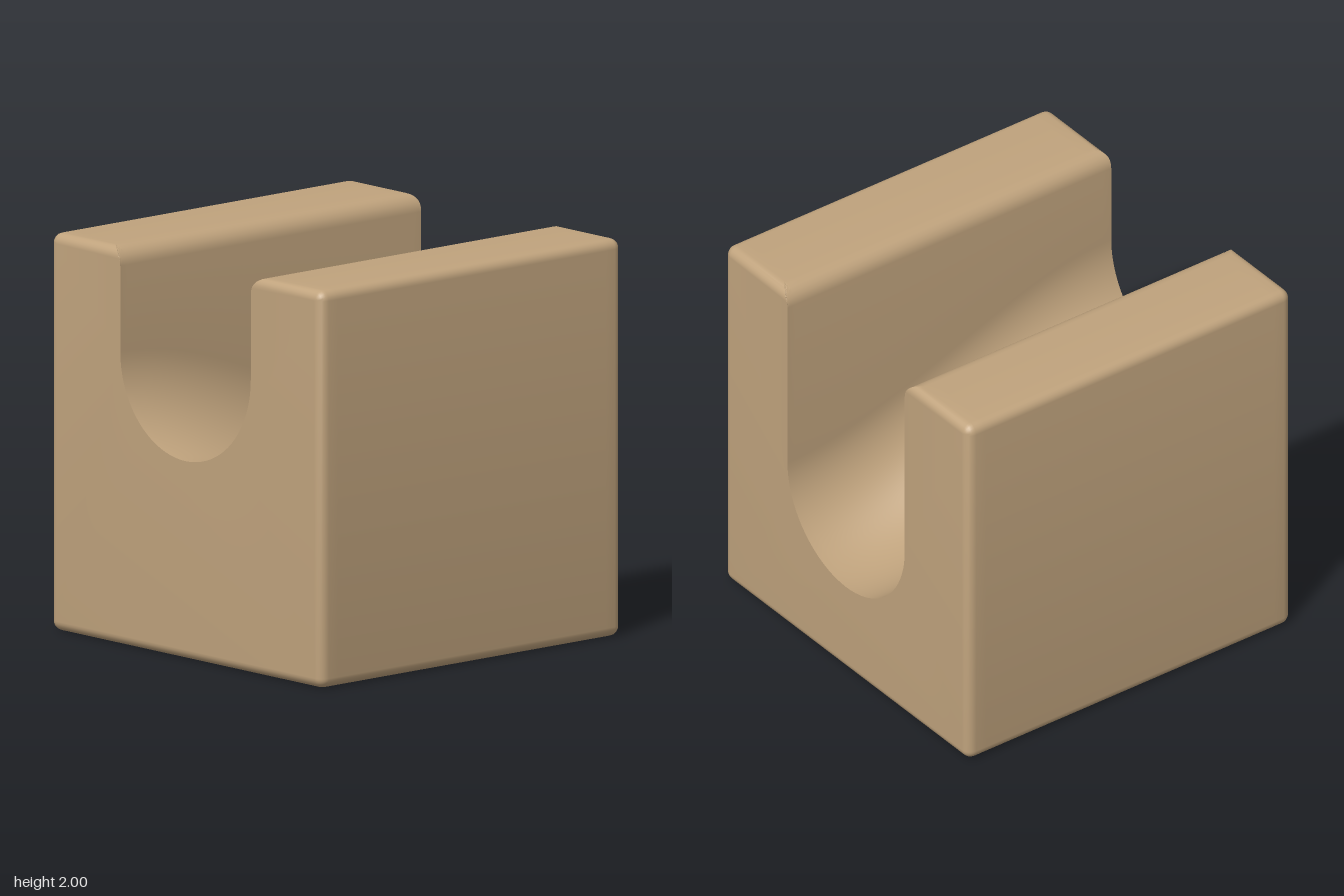
import * as THREE from 'three';
import { toCreasedNormals } from 'three/addons/utils/BufferGeometryUtils.js';

const EDGE = 0.05;   // outer edge rounding
const LIP = 0.09;    // rounding along the top of the channel
const HALF = 0.48;   // half width of the channel
const STEPS = 6;

// Channel floor height: an S-curve from 1.0 down to 0.5
const floorAt = (x) => 1 - 0.5 * THREE.MathUtils.smoothstep(x, -1, 1);

// U-shaped cross-section (u = -z), shrunk by inset near the two ends
function section(x, inset) {
  const pts = [];
  const arc = (cu, cy, r, from, to, n) => {
    for (let i = 0; i <= n; i++) {
      const a = from + (to - from) * i / n;
      pts.push(new THREE.Vector2(cu + r * Math.cos(a), cy + r * Math.sin(a)));
    }
  };
  const r = Math.max(EDGE - inset, 0.0005);
  const side = 1 - inset - r, low = inset + r, high = 2 - inset - r;
  const q = Math.PI / 2;
  const lipAngle = Math.asin((LIP - inset) / LIP);
  arc(-side, low, r, 2 * q, 3 * q, STEPS);
  arc(side, low, r, 3 * q, 4 * q, STEPS);
  arc(side, high, r, 0, q, STEPS);
  arc(HALF + LIP, 2 - LIP, LIP, 2 * q - lipAngle, 2 * q, STEPS);
  arc(0, floorAt(x) + HALF, HALF, 0, -2 * q, 40);
  arc(-HALF - LIP, 2 - LIP, LIP, 0, lipAngle, STEPS);
  arc(-side, high, r, q, 2 * q, STEPS);
  return pts;
}

function blockGeometry() {
  // Stations along x: rounded ends with an even run between them
  const stations = [];
  for (let i = 0; i <= STEPS; i++) {
    const a = (Math.PI / 2) * (1 - i / STEPS);
    stations.push([-1 + EDGE - EDGE * Math.sin(a), EDGE * (1 - Math.cos(a))]);
  }
  for (let i = 1; i < 32; i++) stations.push([(1 - EDGE) * (i / 16 - 1), 0]);
  for (let i = STEPS; i >= 0; i--) stations.push([-stations[i][0], stations[i][1]]);

  const rings = stations.map(([x, inset]) => section(x, inset));
  const n = rings[0].length;
  const pos = [], index = [];
  rings.forEach((ring, i) => ring.forEach((p) => pos.push(stations[i][0], p.y, -p.x)));

  // Skin between neighbouring sections
  for (let i = 0; i < rings.length - 1; i++) {
    for (let j = 0; j < n; j++) {
      const k = (j + 1) % n;
      const a = i * n + j, b = i * n + k, c = a + n, d = b + n;
      index.push(a, b, c, b, d, c);
    }
  }
  // End faces
  const last = (rings.length - 1) * n;
  for (const [a, b, c] of THREE.ShapeUtils.triangulateShape(rings[0], [])) index.push(a, c, b);
  for (const [a, b, c] of THREE.ShapeUtils.triangulateShape(rings[rings.length - 1], [])) {
    index.push(last + a, last + b, last + c);
  }

  const geo = new THREE.BufferGeometry();
  geo.setAttribute('position', new THREE.Float32BufferAttribute(pos, 3));
  geo.setIndex(index);
  return toCreasedNormals(geo, 0.5);
}

export function createModel() {
  const tan = new THREE.MeshStandardMaterial({ color: 0xc0a37d });
  tan.name = 'tan';
  const block = new THREE.Mesh(blockGeometry(), tan);
  block.name = 'channelBlock';
  const model = new THREE.Group();
  model.name = 'groovedBlock';
  model.add(block);
  return model;
}
